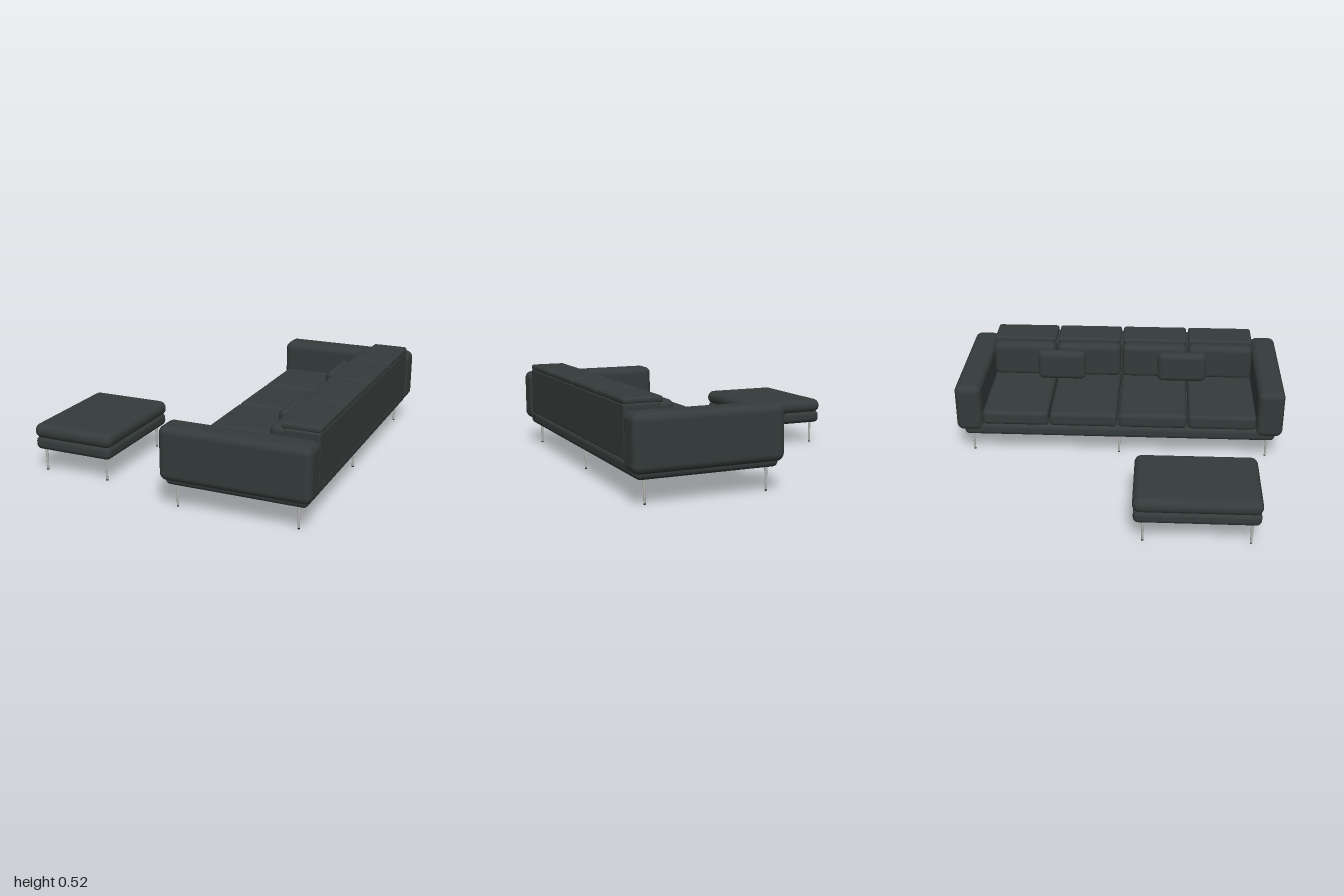
import * as THREE from 'three';
import { RoundedBoxGeometry } from 'three/addons/geometries/RoundedBoxGeometry.js';

const fabric = new THREE.MeshStandardMaterial({ color: 0x343b3a });
fabric.name = 'charcoal fabric';
const steel = new THREE.MeshStandardMaterial({ color: 0xb4b4b2 });
steel.name = 'brushed steel';
const rubber = new THREE.MeshStandardMaterial({ color: 0x222424 });
rubber.name = 'dark rubber';

// Upholstered block given by its extents [min, max] on each axis
function pad(parent, name, [x0, x1], [y0, y1], [z0, z1], radius) {
  const geometry = new RoundedBoxGeometry(x1 - x0, y1 - y0, z1 - z0, 5, radius);
  const mesh = new THREE.Mesh(geometry, fabric);
  mesh.name = name;
  mesh.position.set((x0 + x1) / 2, (y0 + y1) / 2, (z0 + z1) / 2);
  parent.add(mesh);
  return mesh;
}

// Slim tapered leg with a small dark foot
function leg(parent, x, z) {
  const group = new THREE.Group();
  group.name = 'leg';
  const shaft = new THREE.Mesh(new THREE.CylinderGeometry(0.009, 0.006, 0.135, 16), steel);
  shaft.name = 'legShaft';
  shaft.position.y = 0.0735;
  const foot = new THREE.Mesh(new THREE.CylinderGeometry(0.0065, 0.0065, 0.006, 16), rubber);
  foot.name = 'legFoot';
  foot.position.y = 0.003;
  group.add(shaft, foot);
  group.position.set(x, 0, z);
  parent.add(group);
}

function createSofa() {
  const sofa = new THREE.Group();
  sofa.name = 'sofa';

  // Platform and arms
  pad(sofa, 'sofaBase', [0.045, 0.835], [0.13, 0.207], [-0.955, 0.955], 0.028);
  for (const side of [-1, 1]) {
    const z = side > 0 ? [0.838, 1] : [-1, -0.838];
    pad(sofa, 'arm', [0.028, 0.865], [0.165, 0.467], z, 0.042);
  }

  // Back panel between the arms
  pad(sofa, 'backPanel', [0.66, 0.856], [0.214, 0.495], [-0.842, 0.842], 0.012);

  // Four places, each with seat, back and headrest cushions
  const edges = [-0.845, -0.43, -0.008, 0.418, 0.842];
  for (let i = 0; i < 4; i++) {
    const z = [edges[i] + 0.004, edges[i + 1] - 0.004];
    const backZ = [edges[i] + 0.006, edges[i + 1] - 0.006];
    pad(sofa, 'seatCushion', [0.05, 0.84], [0.2, 0.292], z, 0.026);
    pad(sofa, 'backCushion', [0.58, 0.71], [0.28, 0.502], backZ, 0.034);
    pad(sofa, 'headrestCushion', [0.642, 0.858], [0.489, 0.525], backZ, 0.016);
  }

  // Loose lumbar pillows
  for (const z of [[-0.545, -0.237], [0.228, 0.54]]) {
    pad(sofa, 'pillow', [0.51, 0.585], [0.287, 0.48], z, 0.035);
  }

  for (const x of [0.1, 0.778]) {
    for (const z of [-0.91, 0, 0.91]) leg(sofa, x, z);
  }
  return sofa;
}

function createOttoman() {
  const ottoman = new THREE.Group();
  ottoman.name = 'ottoman';
  pad(ottoman, 'ottomanBase', [-0.863, -0.377], [0.135, 0.212], [0.117, 0.807], 0.03);
  pad(ottoman, 'ottomanCushion', [-0.87, -0.37], [0.2, 0.287], [0.112, 0.812], 0.042);
  for (const x of [-0.818, -0.423]) {
    for (const z of [0.17, 0.76]) leg(ottoman, x, z);
  }
  return ottoman;
}

export function createModel() {
  const model = new THREE.Group();
  model.name = 'sofaAndOttoman';
  model.add(createSofa(), createOttoman());
  return model;
}
